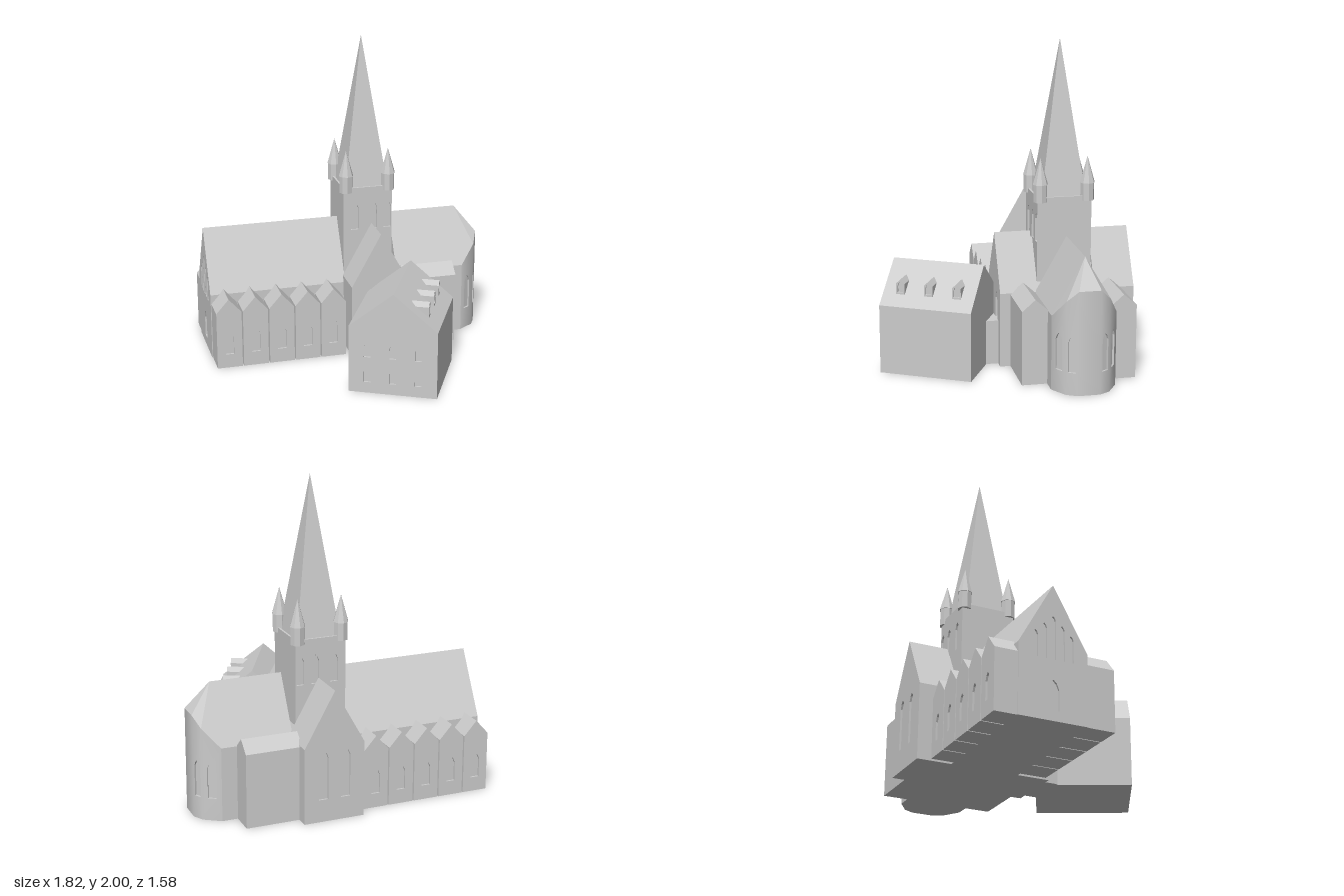
import * as THREE from 'three';

const stone = new THREE.MeshStandardMaterial({ color: 0xcccccc });
stone.name = 'stone';
const RECESS = 0.012;

function add(parent, name, geometry, x = 0, y = 0, z = 0) {
  const m = new THREE.Mesh(geometry, stone);
  m.name = name;
  m.position.set(x, y, z);
  parent.add(m);
  return m;
}

const toShape = pts => new THREE.Shape(pts.map(p => new THREE.Vector2(p[0], p[1])));

// Pointed window outline: centre x, sill, top, width
function lancet([x, y0, y1, w]) {
  const h = w / 2;
  return new THREE.Path([[-h, y0], [-h, y1 - w * 0.8], [-h * 0.6, y1 - w * 0.3], [0, y1],
    [h * 0.6, y1 - w * 0.3], [h, y1 - w * 0.8], [h, y0]].map(p => new THREE.Vector2(x + p[0], p[1])));
}

// Extruded slab, optionally pierced by windows
function slab(outline, depth, windows = []) {
  const shape = toShape(outline);
  shape.holes = windows.map(lancet);
  return new THREE.ExtrudeGeometry(shape, { depth, bevelEnabled: false });
}

// Block with recessed windows in its front (+z) and back (-z) ends
function block(parent, name, outline, length, front = [], back = []) {
  const g = new THREE.Group();
  g.name = name;
  parent.add(g);
  const f = front.length ? RECESS : 0, b = back.length ? RECESS : 0;
  add(g, name + 'Body', slab(outline, length - f - b), 0, 0, -length / 2 + b);
  if (f) add(g, name + 'FrontWall', slab(outline, f, front), 0, 0, length / 2 - f);
  if (b) add(g, name + 'BackWall', slab(outline, b, back), 0, 0, -length / 2);
  return g;
}

const gable = (w, eave, ridge, base = 0) =>
  [[-w / 2, base], [w / 2, base], [w / 2, eave], [0, ridge], [-w / 2, eave]];

function place(g, x, z, turn = 0, y = 0) {
  g.position.set(x, y, z);
  g.rotation.y = turn;
  return g;
}

// Rounded choir end: pierced wall facets with blended normals, and a fan roof
function buildApse(parent) {
  const g = new THREE.Group();
  g.name = 'apse';
  parent.add(g);
  const half = [[0.77, -0.17, 0.46], [0.87, -0.235, 0.575], [0.905, -0.30, 0.64]];
  const ring = [...half, ...half.map(([x, z, y]) => [x, -0.734 - z, y]).reverse()];
  const turns = [0];
  for (let i = 0; i < 5; i++) turns.push(Math.atan2(ring[i][1] - ring[i + 1][1], ring[i + 1][0] - ring[i][0]));
  turns.push(Math.PI);
  const roof = [];
  for (let i = 0; i < 5; i++) {
    const a = ring[i], b = ring[i + 1], turn = turns[i + 1];
    const w = Math.hypot(b[0] - a[0], b[1] - a[1]);
    const outline = [[0, 0], [w, 0], [w, b[2]], [0, a[2]]];
    const wide = i === 0 || i === 4;
    const windows = i === 2 ? [] : [[w / 2, 0.14, 0.37, wide ? 0.052 : 0.045]];
    const geo = slab(outline, RECESS, windows);
    const p = geo.attributes.position, n = geo.attributes.normal;
    const n0 = (turns[i] + turn) / 2, n1 = (turn + turns[i + 2]) / 2;
    for (let v = 0; v < p.count; v++) {
      if (n.getZ(v) < 0.9) continue;
      const d = n0 + (n1 - n0) * p.getX(v) / w - turn;
      n.setXYZ(v, Math.sin(d), 0, Math.cos(d));
    }
    const facet = new THREE.Group();
    facet.name = 'apseFacet';
    place(facet, a[0], a[1], turn);
    g.add(facet);
    add(facet, 'apseWall', geo, 0, 0, -RECESS);
    add(facet, 'apseWindowBack', slab(outline, 0.003), 0, 0, -RECESS - 0.003);
    roof.push(0.77, 0.81, -0.367, a[0], a[2], a[1], b[0], b[2], b[1]);
  }
  const roofGeo = new THREE.BufferGeometry();
  roofGeo.setAttribute('position', new THREE.Float32BufferAttribute(roof, 3));
  roofGeo.computeVertexNormals();
  add(g, 'apseRoof', roofGeo);
  const floor = slab(ring.map(p => [p[0], -p[1]]), 0.004);
  floor.rotateX(-Math.PI / 2);
  add(g, 'apseFloor', floor);
}

function buildTower(parent) {
  const g = new THREE.Group();
  g.name = 'tower';
  place(g, 0.13, -0.36);
  parent.add(g);
  const lights = [-0.085, 0.035, 0.13].map(x => [x, 0.77, 0.95, 0.05]);
  block(g, 'towerShaft', [[-0.16, 0], [0.16, 0], [0.16, 1.03], [-0.16, 1.03]], 0.34, lights, lights);
  for (const s of [-1, 1]) {
    add(g, 'parapet', new THREE.BoxGeometry(0.32, 0.025, 0.012), 0, 1.0375, s * 0.164);
    add(g, 'parapet', new THREE.BoxGeometry(0.012, 0.025, 0.33), s * 0.154, 1.0375, 0);
  }
  // Four-sided spire
  const spire = new THREE.ConeGeometry(0.142 * Math.SQRT2, 0.98, 4, 1, false, Math.PI / 4).toNonIndexed();
  spire.computeVertexNormals();
  add(g, 'spire', spire, 0, 1.51, 0);
  // Corner pinnacles
  const profile = [[0, 1.02], [0.043, 1.02], [0.043, 1.13], [0.047, 1.13], [0, 1.295]];
  const pinnacle = new THREE.LatheGeometry(profile.map(p => new THREE.Vector2(...p)), 8).toNonIndexed();
  pinnacle.computeVertexNormals();
  for (const x of [-1, 1]) for (const z of [-1, 1]) add(g, 'pinnacle', pinnacle, x * 0.138, 0, z * 0.147);
}

function buildHouse(parent) {
  const windows = [];
  for (const x of [-0.157, 0, 0.157]) windows.push([x, 0.07, 0.17, 0.042], [x, 0.235, 0.335, 0.042]);
  const house = block(parent, 'house', gable(0.545, 0.43, 0.655), 0.58, windows);
  place(house, 0.183, 0.403, -0.482);
  // Dormers on the outer roof slope
  for (const z of [-0.178, 0, 0.178]) {
    const dormer = block(house, 'dormer', gable(0.055, 0.555, 0.582, 0.48), 0.11, [[0, 0.5, 0.568, 0.036]]);
    place(dormer, 0.147, z, Math.PI / 2);
  }
}

export function createModel() {
  const model = new THREE.Group();
  model.name = 'church';

  // Nave with lancets and a doorway in its end gable
  const lancets = [-2, -1, 0, 1, 2].map(i => [i * 0.055, 0.36, 0.62 - Math.abs(i) * 0.05, 0.032]);
  const nave = block(model, 'nave', gable(0.425, 0.43, 0.81), 0.88, [...lancets, [0, 0.06, 0.24, 0.07]]);
  place(nave, -0.47, -0.367, -Math.PI / 2);

  // Gabled side bays
  for (let i = 0; i < 5; i++) {
    const x = -0.825 + i * 0.1685, win = [[0, 0.09, 0.25, 0.055]];
    place(block(model, 'southBay', gable(0.16, 0.37, 0.46), 0.25, win), x, -0.11);
    place(block(model, 'northBay', gable(0.16, 0.37, 0.46), 0.22, win), x, -0.61, Math.PI);
  }

  // Transept arms and the lower crossing between them
  const pair = [[-0.07, 0.14, 0.45, 0.06], [0.07, 0.14, 0.45, 0.06]];
  place(block(model, 'southTransept', gable(0.38, 0.47, 0.81), 0.225, pair), 0.15, -0.0625);
  place(block(model, 'northTransept', gable(0.38, 0.47, 0.81), 0.25, pair), 0.15, -0.67, Math.PI);
  place(block(model, 'crossing', gable(0.38, 0.43, 0.77), 0.4), 0.15, -0.36);

  // Choir, its side aisles and the apse
  place(block(model, 'choir', gable(0.394, 0.46, 0.81), 0.45), 0.545, -0.367, Math.PI / 2);
  for (const z of [-0.095, -0.637]) {
    place(block(model, 'choirAisle', gable(0.16, 0.46, 0.53), 0.35), 0.498, z, Math.PI / 2);
  }
  buildApse(model);
  buildTower(model);

  // House and the low link to the transept
  buildHouse(model);
  add(model, 'link', new THREE.BoxGeometry(0.28, 0.28, 0.12), 0.14, 0.14, 0.07);
  return model;
}
